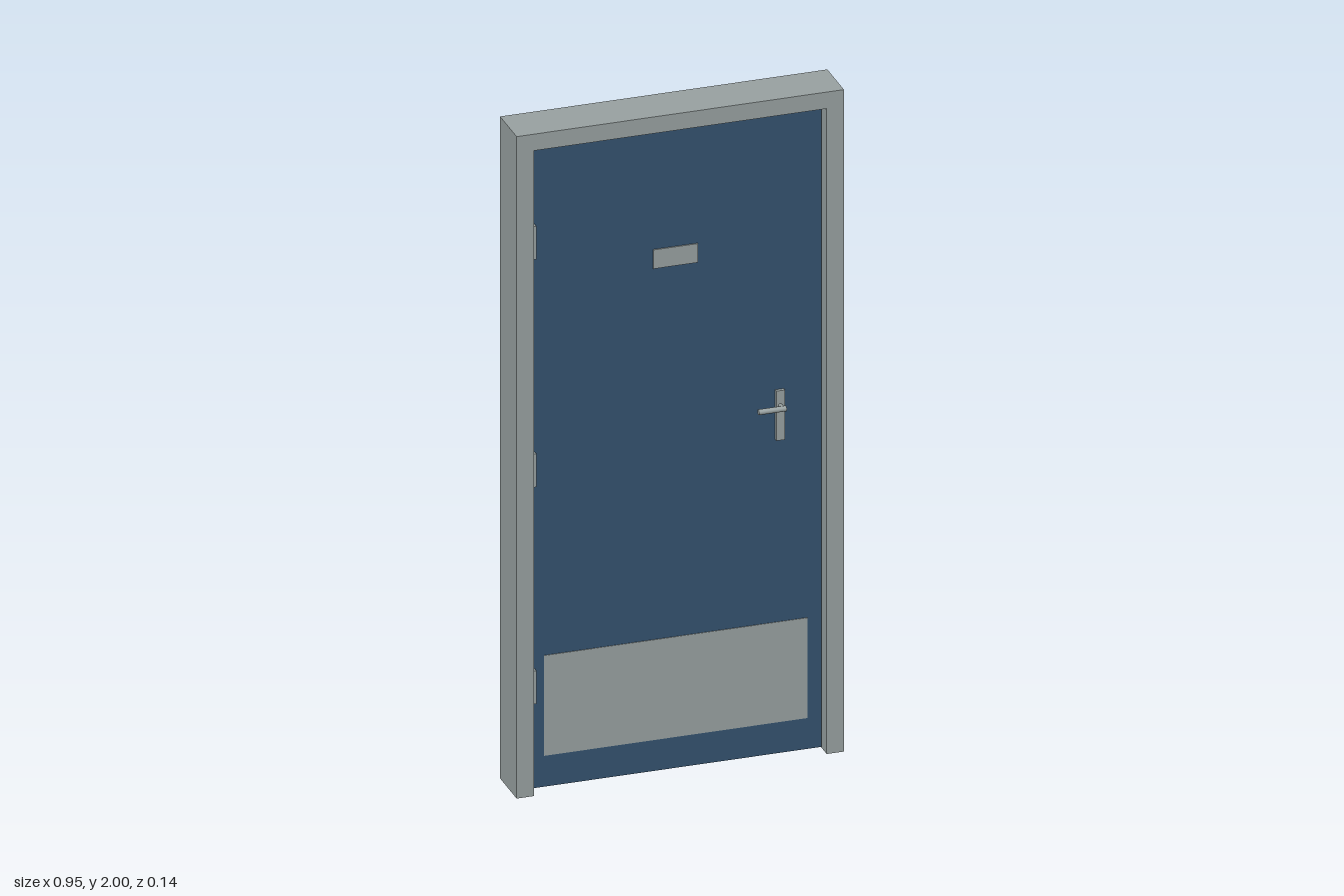
import * as THREE from 'three';

export function createModel() {
  const root = new THREE.Group();
  root.name = 'door';

  const steel = new THREE.MeshStandardMaterial({ color: 0x98a1a1 });
  steel.name = 'grey steel';
  const blue = new THREE.MeshStandardMaterial({ color: 0x34526e });
  blue.name = 'blue paint';

  const add = (name, geometry, material, parent = root) => {
    const mesh = new THREE.Mesh(geometry, material);
    mesh.name = name;
    parent.add(mesh);
    return mesh;
  };
  // Box given by its limits on each axis
  const box = (name, [x0, x1], [y0, y1], [z0, z1], material, parent) =>
    add(name, new THREE.BoxGeometry(x1 - x0, y1 - y0, z1 - z0), material, parent)
      .position.set((x0 + x1) / 2, (y0 + y1) / 2, (z0 + z1) / 2);

  const back = -0.072, front = 0.068;
  const leafBack = -0.036, leafFront = 0.031;

  // Frame: two jambs and a head in one outline, open at the floor
  const outline = new THREE.Shape([
    [-0.475, 0], [-0.425, 0], [-0.425, 1.95], [0.425, 1.95],
    [0.425, 0], [0.475, 0], [0.475, 2], [-0.475, 2],
  ].map(([x, y]) => new THREE.Vector2(x, y)));
  const frame = new THREE.ExtrudeGeometry(outline, { depth: front - back, bevelEnabled: false });
  frame.translate(0, 0, back);
  add('frame', frame, steel);

  // Door leaf with a small gap all round
  box('doorLeaf', [-0.422, 0.422], [0.006, 1.947], [leafBack, leafFront], blue);

  // Plates fixed to the front of the leaf
  box('kickPlate', [-0.383, 0.381], [0.1, 0.403], [leafFront, leafFront + 0.002], steel);
  box('namePlate', [-0.067, 0.063], [1.525, 1.582], [leafFront, leafFront + 0.004], steel);

  // Hinges along the left-hand edge
  for (const y of [0.317, 0.972, 1.66]) {
    box('hinge', [-0.428, -0.41], [y - 0.05, y + 0.05], [leafFront - 0.005, leafFront + 0.015], steel);
  }

  // Handle: backplate, spindle and lever
  const handle = new THREE.Group();
  handle.name = 'handle';
  root.add(handle);
  box('backplate', [0.288, 0.313], [0.955, 1.105], [leafFront, leafFront + 0.01], steel, handle);
  const spindle = add('spindle', new THREE.CylinderGeometry(0.006, 0.006, 0.028, 16), steel, handle);
  spindle.rotation.x = Math.PI / 2;
  spindle.position.set(0.3, 1.06, leafFront + 0.02);
  const lever = add('lever', new THREE.CylinderGeometry(0.008, 0.008, 0.08, 16), steel, handle);
  lever.rotation.z = Math.PI / 2;
  lever.position.set(0.268, 1.06, 0.064);

  return root;
}
